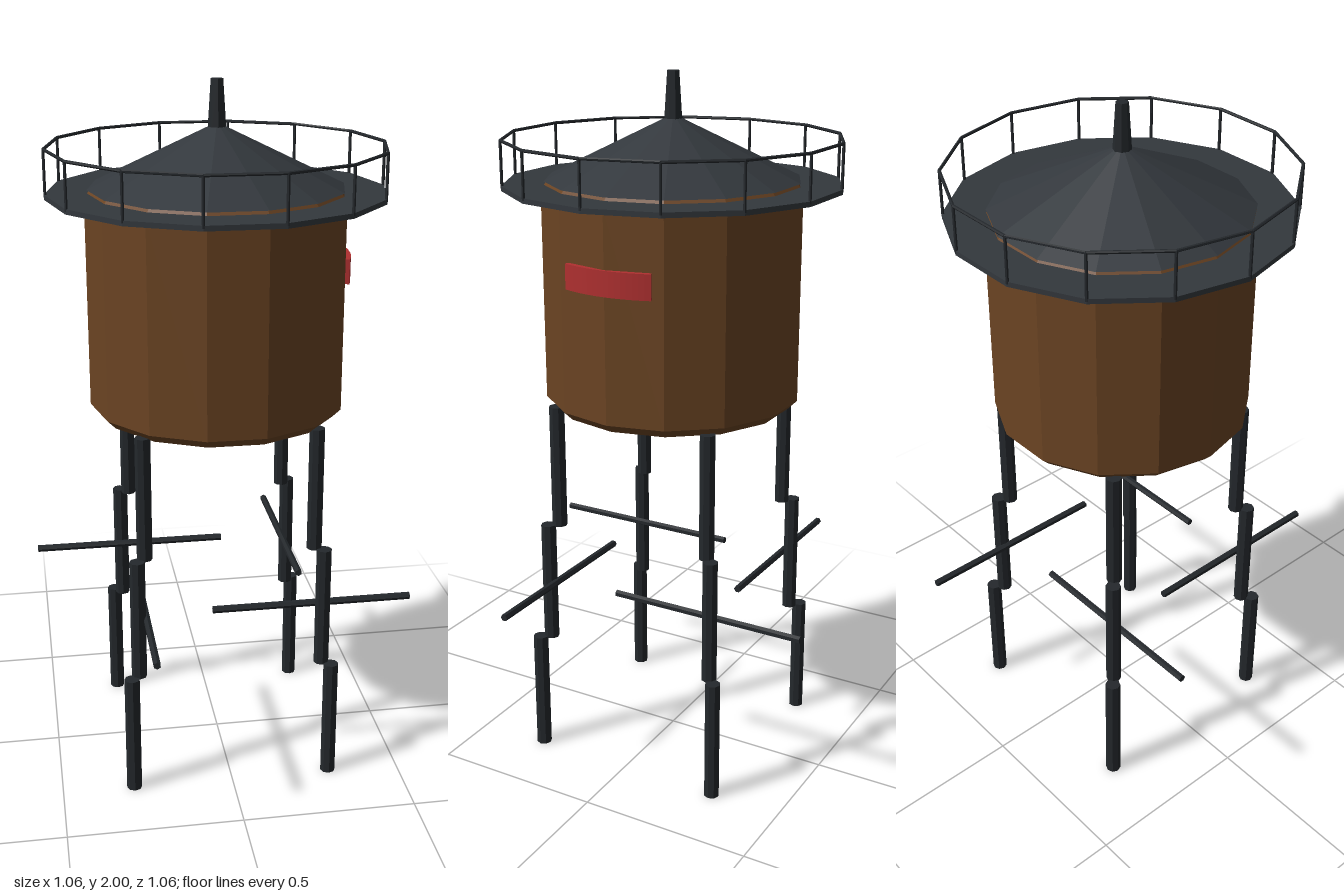
import * as THREE from 'three';

const SIDES = 14;
const paint = (color) => new THREE.MeshStandardMaterial({ color, flatShading: true });

export function createModel() {
  const model = new THREE.Group();
  const wood = paint(0x6b4423);
  const slate = paint(0x33383d);
  const iron = paint(0x24282c);
  const red = paint(0xb03030);

  const add = (name, geometry, material, parent = model) => {
    const mesh = new THREE.Mesh(geometry, material);
    mesh.name = name;
    parent.add(mesh);
    return mesh;
  };
  const group = (name) => {
    const g = new THREE.Group();
    g.name = name;
    model.add(g);
    return g;
  };
  // Fourteen-sided prism or cone with corners on the x axis
  const drum = (top, bottom, y0, y1) =>
    new THREE.CylinderGeometry(top, bottom, y1 - y0, SIDES)
      .rotateY(Math.PI / 2).translate(0, (y0 + y1) / 2, 0);
  // Straight bar between two points
  const bar = (name, a, b, radius, sides, parent) => {
    const d = b.clone().sub(a);
    const mesh = add(name, new THREE.CylinderGeometry(radius, radius, d.length(), sides), iron, parent);
    mesh.position.copy(a).add(b).multiplyScalar(0.5);
    mesh.quaternion.setFromUnitVectors(new THREE.Vector3(0, 1, 0), d.normalize());
  };
  const V = (x, y, z) => new THREE.Vector3(x, y, z);

  // Tank with chamfered rims
  const profile = [[0, 1.075], [0.34, 1.075], [0.365, 1.1], [0.365, 1.69], [0.35, 1.71], [0, 1.71]]
    .map(([x, y]) => new THREE.Vector2(x, y));
  add('tank', new THREE.LatheGeometry(profile, SIDES).rotateY(Math.PI / 2), wood);

  // Walkway, roof and finial
  add('walkway', drum(0.472, 0.472, 1.688, 1.702), slate);
  add('roof', drum(0, 0.357, 1.711, 1.885), slate);
  add('finial', new THREE.CylinderGeometry(0.017, 0.026, 0.14, 8).translate(0, 1.93, 0), iron);

  // Railing: a post at each walkway corner, joined by a top rail
  const railing = group('railing');
  const corner = (i, y) => {
    const a = (i / SIDES) * Math.PI * 2;
    return V(0.469 * Math.cos(a), y, 0.469 * Math.sin(a));
  };
  for (let i = 0; i < SIDES; i++) {
    bar('railPost', corner(i, 1.695), corner(i, 1.825), 0.0045, 6, railing);
    bar('topRail', corner(i, 1.823), corner(i + 1, 1.823), 0.0045, 6, railing);
  }

  // Curved band on the +x side of the tank
  const arc = 0.36;
  const bandShape = new THREE.Shape();
  bandShape.absarc(0, 0, 0.372, -arc, arc, false);
  bandShape.absarc(0, 0, 0.345, arc, -arc, true);
  const band = new THREE.ExtrudeGeometry(bandShape, { depth: 0.07, bevelEnabled: false, curveSegments: 8 });
  add('band', band.rotateX(-Math.PI / 2).translate(0, 1.455, 0), red);

  // Legs, each stepping outward in three upright pieces
  const legs = group('legs');
  const steps = [[0.291, 0, 0.362], [0.267, 0.358, 0.72], [0.243, 0.716, 1.08]];
  for (const sx of [-1, 1]) {
    for (const sz of [-1, 1]) {
      for (const [r, y0, y1] of steps) {
        bar('legPiece', V(sx * r, y0, sz * r), V(sx * r, y1, sz * r), 0.022, 8, legs);
      }
    }
  }

  // Horizontal braces, turned a quarter for each side
  const braces = group('braces');
  for (let i = 0; i < 4; i++) {
    const turn = (x, z) => V(x, 0.54, z).applyAxisAngle(V(0, 1, 0), (i * Math.PI) / 2);
    bar('brace', turn(-0.05, 0.243), turn(0.532, 0.243), 0.0105, 6, braces);
  }
  return model;
}
